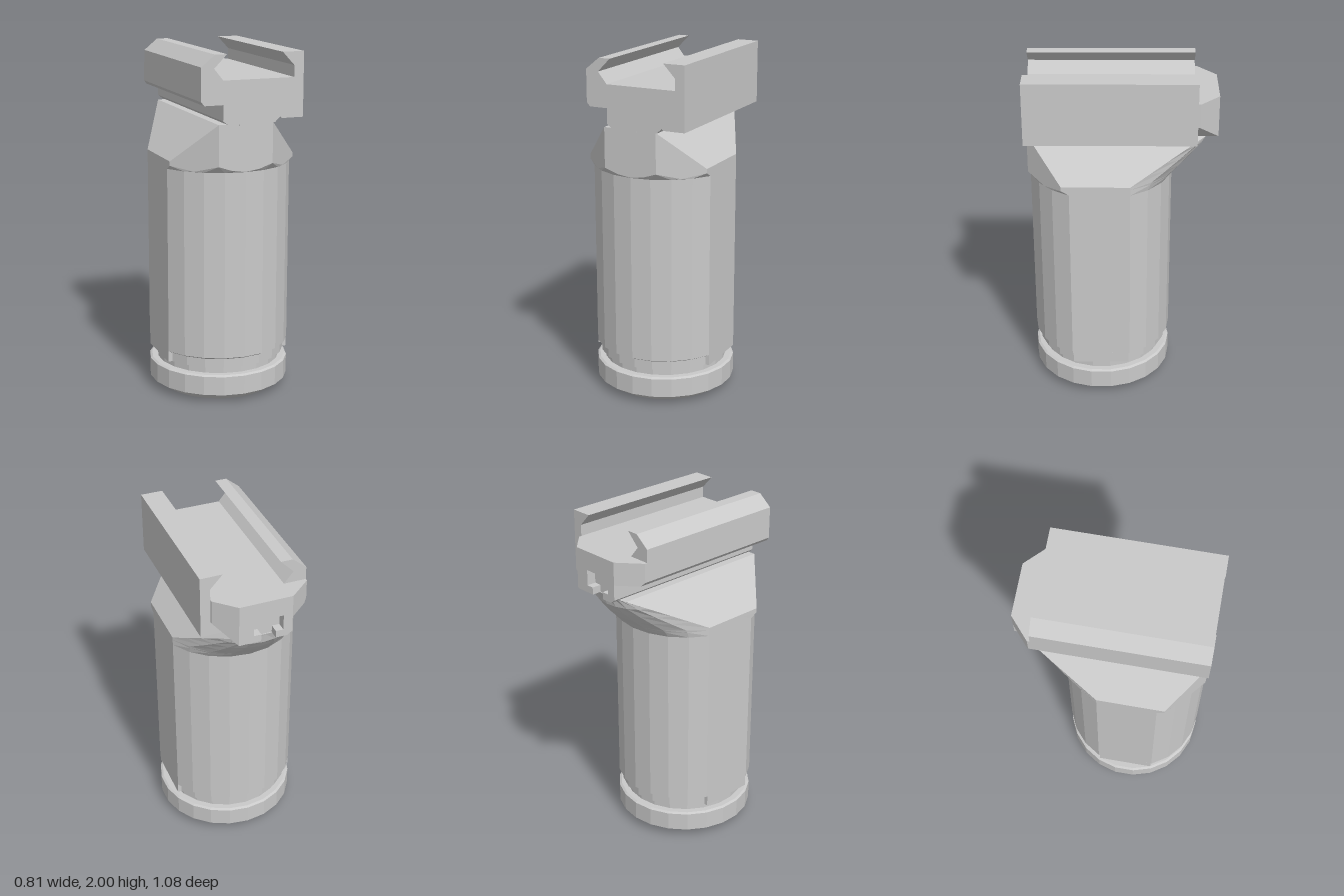
import * as THREE from 'three';

const SIDES = 22, STEP = (Math.PI * 2) / SIDES;
const R = 0.41;       // grip radius
const CZ = 0.121;     // grip axis
const FLAT = 0.373;   // half width across the flat sides

export function createModel() {
  const group = new THREE.Group();
  const grey = new THREE.MeshStandardMaterial({ color: 0xc9c9c9 });
  grey.name = 'grey';

  // adds a part with faceted normals
  function add(name, geometry) {
    const g = geometry.index ? geometry.toNonIndexed() : geometry;
    g.computeVertexNormals();
    const mesh = new THREE.Mesh(g, grey);
    mesh.name = name;
    group.add(mesh);
  }

  // faceted round section, optionally shaved flat on both sides
  function drum(name, rBottom, rTop, y0, y1, limit = 1) {
    const g = new THREE.CylinderGeometry(rTop, rBottom, y1 - y0, SIDES);
    const p = g.attributes.position;
    for (let i = 0; i < p.count; i++) p.setX(i, THREE.MathUtils.clamp(p.getX(i), -limit, limit));
    g.translate(0, (y0 + y1) / 2, CZ);
    add(name, g);
  }

  // front profile extruded along z; backZ(x) shapes the rear end
  function rail(name, points, front, backZ) {
    const shape = new THREE.Shape(points.map(([x, y]) => new THREE.Vector2(x, y)));
    const g = new THREE.ExtrudeGeometry(shape, { depth: 1, bevelEnabled: false });
    const p = g.attributes.position;
    for (let i = 0; i < p.count; i++) p.setZ(i, p.getZ(i) > 0.5 ? front : backZ(p.getX(i)));
    add(name, g);
  }

  // end cap
  drum('capChamfer', 0.335, R, 0, 0.05);
  drum('capBand', R, R, 0.05, 0.16);
  drum('capLip', R, 0.397, 0.16, 0.168);

  // grip
  drum('grooveNeck', 0.363, 0.363, 0.165, 0.215);
  drum('grooveRing', 0.387, 0.387, 0.21, 0.265, FLAT);
  drum('gripChamfer', 0.387, R, 0.262, 0.275, FLAT);
  drum('gripBody', R, R, 0.275, 1.35, FLAT);
  const panel = new THREE.BoxGeometry(FLAT * 2, 0.07, 0.33);
  panel.translate(0, 0.245, CZ);
  add('sidePanels', panel);

  // shoulder: round at the bottom, narrowing to a long ridge that leans backwards
  const A = 4 * STEP;
  const levels = [[1.35, -0.289], [1.385, -0.323], [1.4, -0.337], [1.45, -0.387],
    [1.5, -0.432], [1.56, -0.48], [1.62, -0.492]];
  const lerp = THREE.MathUtils.lerp;
  const section = ([y, back], level) => {
    const t = Math.max(0, (y - 1.4) / 0.22);
    const w = lerp(FLAT, 0.16, t);
    const sideBack = lerp(CZ - R * Math.cos(A), -0.477, t);
    const frontZ = (x) => 0.532 - 0.197 * Math.max(0, (x - 0.16) / (FLAT - 0.16));
    const ring = [];
    for (let j = 0; j < SIDES; j++) {
      const k = j > 11 ? j - SIDES : j, n = Math.abs(k), s = Math.sign(k);
      let x, z, py = y;
      if (n <= 4) {
        if (level === 0) {
          x = R * Math.sin(n * STEP);
          z = CZ + R * Math.cos(n * STEP);
        } else {
          x = [0, 0.08, 0.16, (0.16 + w) / 2, w][n];
          z = frontZ(x);
          // scalloped lower edge where the flat faces meet the round grip
          if (level === 1) py = 1.352 + 1.2 * Math.max(0, Math.hypot(x, z - CZ) - R);
        }
      } else if (n <= 6) {
        x = w;
        z = lerp(level === 0 ? CZ + R * Math.cos(A) : frontZ(w), sideBack, (n - 4) / 3);
      } else {
        const a = (11 - n) * STEP;
        x = w * Math.sin(a) / Math.sin(A);
        z = lerp(sideBack, back, (Math.cos(a) - Math.cos(A)) / (1 - Math.cos(A)));
      }
      ring.push(Math.min(x, FLAT) * s, py, z);
    }
    return ring;
  };
  const verts = levels.flatMap(section);
  const index = [];
  const top = (levels.length - 1) * SIDES;
  for (let j = 0; j < SIDES; j++) {
    const n = (j + 1) % SIDES;
    for (let l = 0; l < levels.length - 1; l++) {
      const a = l * SIDES + j, b = l * SIDES + n;
      // diagonals mirror left to right
      if (j < SIDES / 2) index.push(a, b, b + SIDES, a, b + SIDES, a + SIDES);
      else index.push(a, b, a + SIDES, b, b + SIDES, a + SIDES);
    }
    index.push(top + j, top + n, verts.length / 3);
  }
  verts.push(0, 1.62, 0);
  const shoulder = new THREE.BufferGeometry();
  shoulder.setAttribute('position', new THREE.Float32BufferAttribute(verts, 3));
  shoulder.setIndex(index);
  add('shoulder', shoulder);

  // sliding T rail on top of the shoulder
  rail('slideRail', [[-0.042, 1.61], [0.042, 1.61], [0.042, 1.66], [0.085, 1.66],
    [0.085, 1.75], [-0.085, 1.75], [-0.085, 1.66], [-0.042, 1.66]], 0.538, () => -0.485);

  // clamp base in three pieces, its rear corners cut off
  const chamfer = (x) => {
    if (x < -0.137) return lerp(-0.54, -0.43, (-0.137 - x) / 0.127);
    if (x > 0.168) return lerp(-0.54, -0.43, (x - 0.168) / 0.112);
    return -0.54;
  };
  rail('clampBase', [[-0.137, 1.64], [-0.11, 1.618], [-0.042, 1.618], [-0.042, 1.66],
    [-0.085, 1.66], [-0.085, 1.75], [0.085, 1.75], [0.085, 1.66], [0.042, 1.66],
    [0.042, 1.618], [0.168, 1.618], [0.168, 1.86], [-0.137, 1.86]], 0.538, chamfer);
  rail('clampBaseRight', [[-0.264, 1.75], [-0.245, 1.728], [-0.137, 1.728],
    [-0.137, 1.86], [-0.264, 1.86]], 0.538, chamfer);
  rail('clampBaseLeft', [[0.168, 1.618], [0.28, 1.72], [0.28, 1.86], [0.168, 1.86]], 0.538, chamfer);

  // clamp jaws
  const jawBack = () => -0.415;
  rail('rightJaw', [[-0.264, 1.86], [-0.137, 1.86], [-0.19, 1.925], [-0.116, 2],
    [-0.184, 2], [-0.264, 1.935]], 0.538, jawBack);
  rail('leftJaw', [[0.21, 1.638], [0.337, 1.638], [0.337, 2], [0.21, 2],
    [0.28, 1.925], [0.28, 1.72], [0.2, 1.647]], 0.538, jawBack);

  return group;
}
